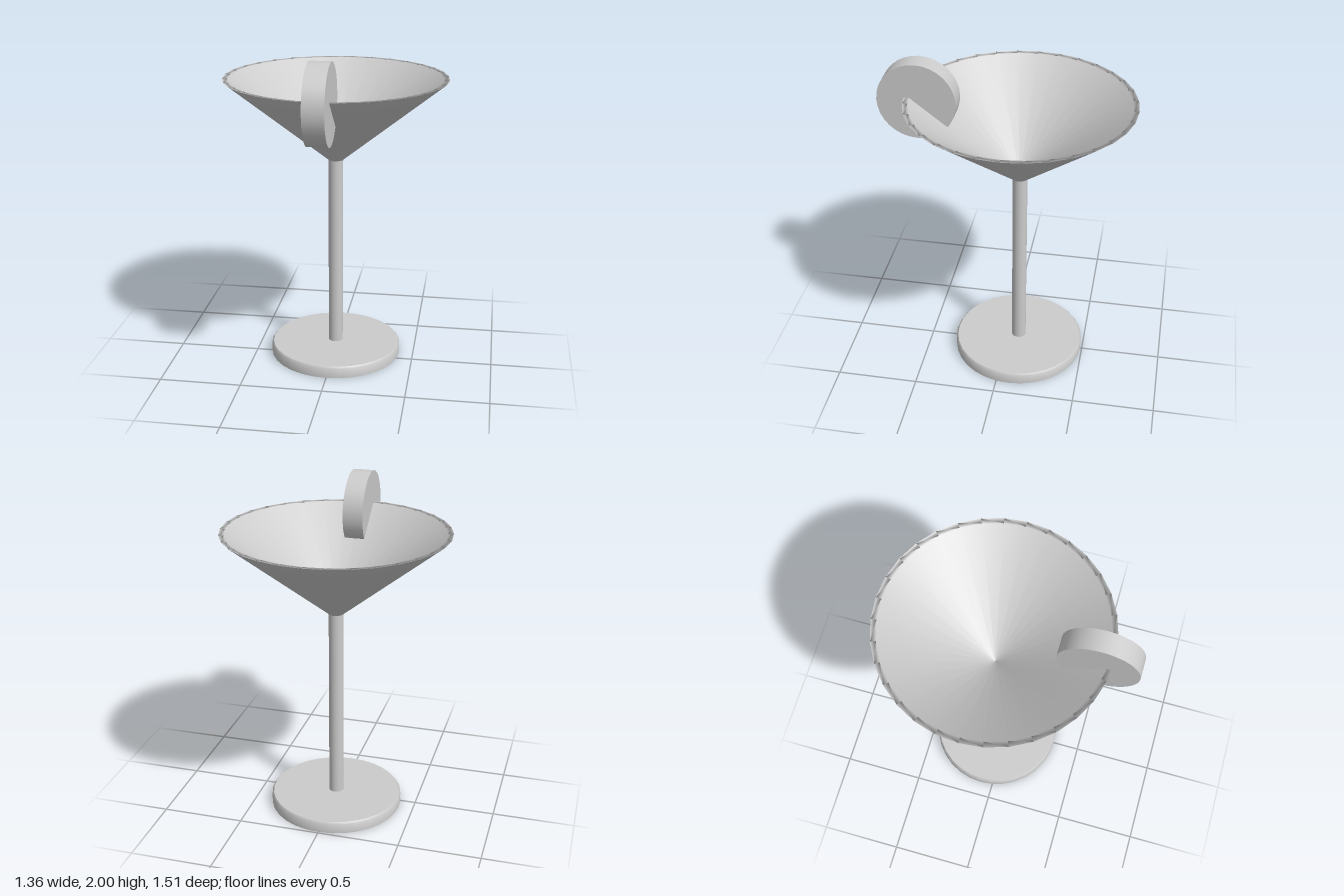
import * as THREE from 'three';
import { toCreasedNormals } from 'three/addons/utils/BufferGeometryUtils.js';

const SIDES = 32;

export function createModel() {
  const model = new THREE.Group();
  const material = new THREE.MeshStandardMaterial({ color: 0xcccccc });

  const add = (parent, name, geometry, y = 0, z = 0) => {
    const mesh = new THREE.Mesh(geometry, material);
    mesh.name = name;
    mesh.position.set(0, y, z);
    parent.add(mesh);
    return mesh;
  };
  const lathe = (profile) =>
    new THREE.LatheGeometry(profile.map(([r, y]) => new THREE.Vector2(r, y)), SIDES);

  // Glass, set slightly back so that the garnish balances it
  const glass = new THREE.Group();
  glass.name = 'glass';
  glass.position.z = -0.08;
  model.add(glass);

  // Foot: flat disc with a softened upper edge
  const foot = lathe([[0, 0], [0.41, 0], [0.41, 0.06], [0.4, 0.073], [0, 0.073]]);
  add(glass, 'foot', toCreasedNormals(foot, 0.9));

  // Stem
  add(glass, 'stem', new THREE.CylinderGeometry(0.045, 0.045, 1.22, SIDES, 1, true), 0.67);

  // Bowl: outer cone, narrow rim, inner cone
  add(glass, 'bowl', lathe([[0.045, 1.28], [0.678, 1.79], [0.645, 1.788], [0, 1.29]]));

  // Citrus slice straddling the front of the rim
  const slice = new THREE.CylinderGeometry(0.235, 0.235, 0.125, SIDES);
  slice.rotateZ(Math.PI / 2);
  add(model, 'garnishSlice', slice, 1.765, 0.522);

  return model;
}
